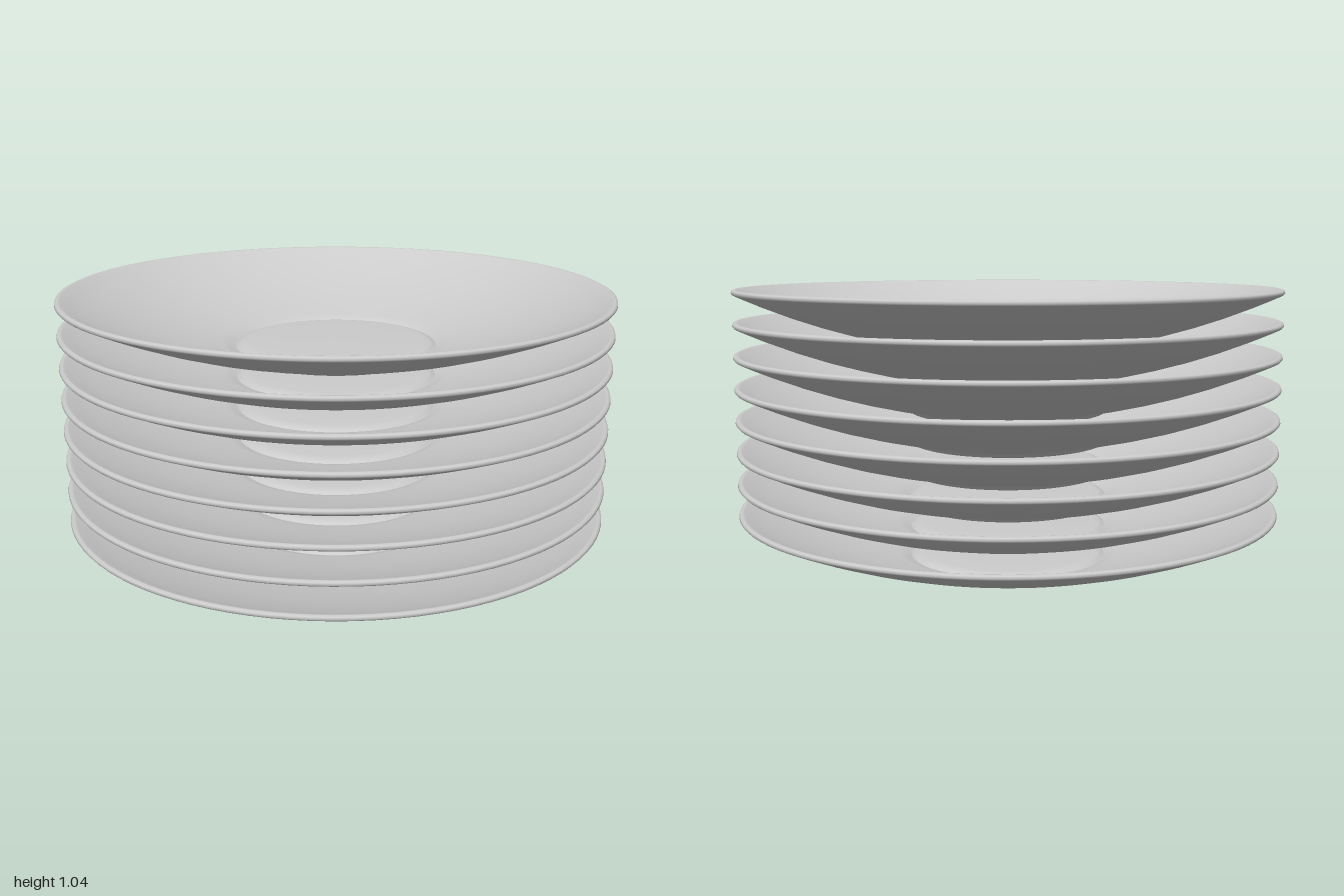
import * as THREE from 'three';

// Saucer cross-section [radius, height], from the underside centre round the rim to the top centre
const PROFILE = [
  [0, 0.022], [0.2, 0.021], [0.31, 0.018], [0.335, 0.011], [0.35, 0.002], // recessed base
  [0.358, 0], [0.366, 0.003], [0.375, 0.014], [0.39, 0.022], [0.42, 0.028], // foot ring
  [0.5, 0.044], [0.6, 0.069], [0.7, 0.098], [0.8, 0.132], [0.9, 0.171], [0.96, 0.197],
  [0.995, 0.213], [1, 0.219], [0.998, 0.227], [0.99, 0.231], [0.98, 0.229], // rim
  [0.95, 0.213], [0.9, 0.191], [0.8, 0.151], [0.7, 0.117], [0.6, 0.088], [0.5, 0.063],
  [0.42, 0.046], [0.39, 0.038], [0.372, 0.027], // groove round the raised centre
  [0.364, 0.027], [0.359, 0.034], [0.345, 0.039], [0.32, 0.043], [0.2, 0.046], [0, 0.047],
];
const COUNT = 8;
const SPACING = 0.115;

export function createModel() {
  const group = new THREE.Group();
  group.name = 'saucerStack';
  const material = new THREE.MeshStandardMaterial({ color: 0xcccccc });
  const geometry = new THREE.LatheGeometry(PROFILE.map(([r, y]) => new THREE.Vector2(r, y)), 96);

  // Identical saucers stacked upward
  for (let i = 0; i < COUNT; i++) {
    const saucer = new THREE.Mesh(geometry, material);
    saucer.name = `saucer${i + 1}`;
    saucer.position.y = i * SPACING;
    group.add(saucer);
  }
  return group;
}
